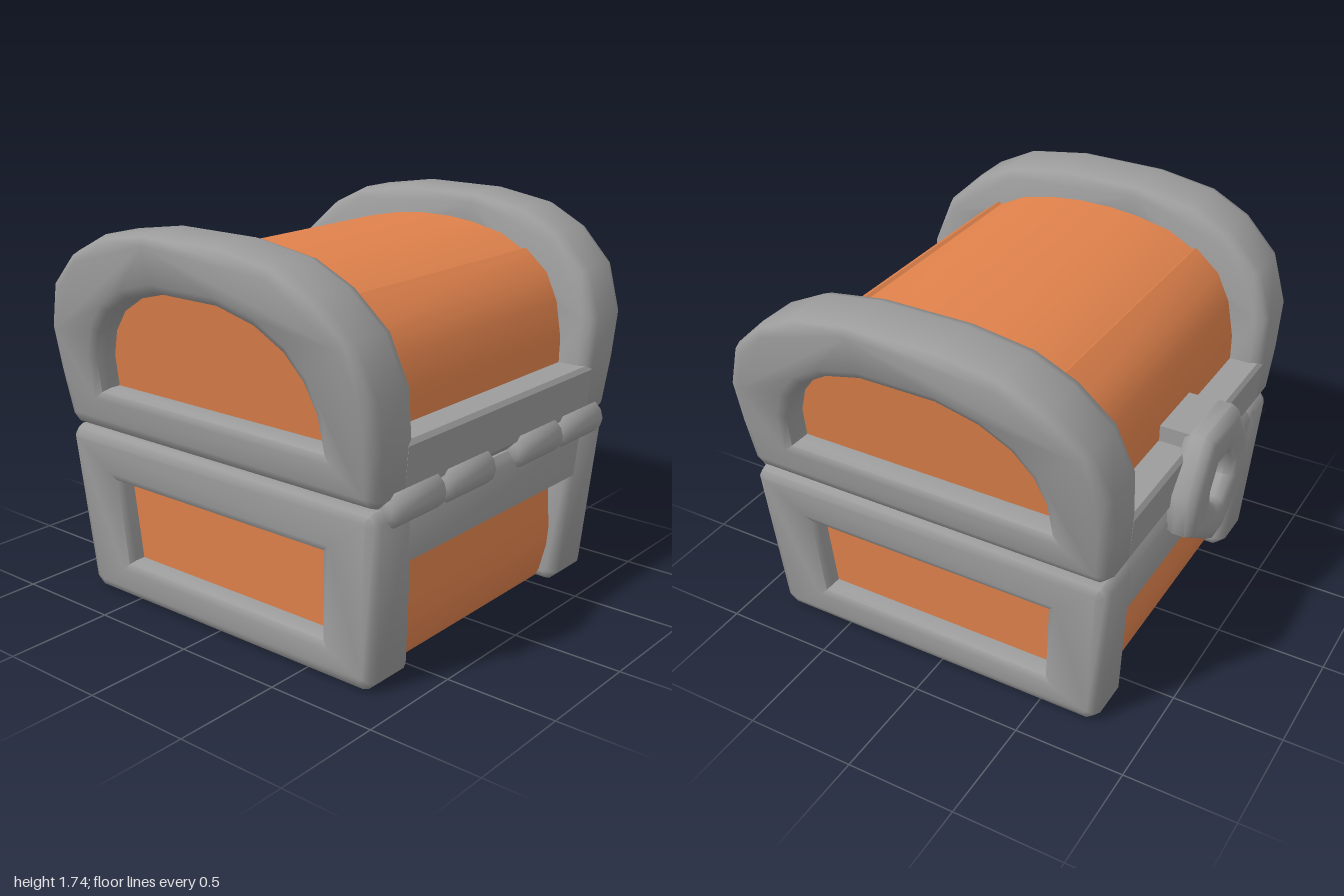
import * as THREE from 'three';
import { toCreasedNormals } from 'three/addons/utils/BufferGeometryUtils.js';

const CENTRE_Z = 0.035; // the chest body sits slightly forward of the lock

// Full contour from its +z half, listed bottom to top as [z, y]
const mirrored = (half) => [...half, ...half.map(([z, y]) => [-z, y]).reverse()];
const toPoints = (list) => list.map(([z, y]) => new THREE.Vector2(-z, y));

// Side-on profile swept along x between two planes that may lean with height
function sweep(profile, inner, outer, { hole, bevel = 0, crease = 0.7 } = {}) {
  const shape = new THREE.Shape(toPoints(profile));
  // Holes wind opposite to the outline so their bevels open outward
  if (hole) shape.holes.push(new THREE.Path(toPoints(hole).reverse()));
  const bt = bevel / (outer(0.8) - inner(0.8));
  const g = new THREE.ExtrudeGeometry(shape, {
    depth: 1 - 2 * bt, bevelEnabled: bevel > 0, bevelThickness: bt,
    bevelSize: bevel, bevelOffset: -bevel, bevelSegments: 2,
  });
  g.translate(0, 0, bt).rotateY(Math.PI / 2);
  const p = g.attributes.position;
  for (let i = 0; i < p.count; i++) {
    const y = p.getY(i);
    p.setX(i, THREE.MathUtils.lerp(inner(y), outer(y), p.getX(i)));
  }
  return toCreasedNormals(g, crease);
}

export function createModel() {
  const metal = new THREE.MeshStandardMaterial({ color: 0x9c9c9c });
  metal.name = 'grey metal';
  const wood = new THREE.MeshStandardMaterial({ color: 0xe0824c });
  wood.name = 'orange wood';

  const model = new THREE.Group();
  model.name = 'chest';
  const body = new THREE.Group();
  body.name = 'body';
  body.position.z = CENTRE_Z;
  model.add(body);

  const add = (name, geometry, material, parent = body) => {
    const mesh = new THREE.Mesh(geometry, material);
    mesh.name = name;
    parent.add(mesh);
    return mesh;
  };
  // Profiles are symmetric, so the opposite end is a half turn
  const addPair = (name, geometry, material) => {
    add('left' + name, geometry, material);
    add('right' + name, geometry, material).rotation.y = Math.PI;
  };

  // Base end frames: legs, bottom rail and top rail around an opening
  addPair('BaseFrame', sweep(
    mirrored([[0.77, 0], [0.815, 0.04], [0.866, 0.74], [0.835, 0.785]]),
    (y) => 0.55 + 0.06 * y, (y) => 0.81 + 0.066 * y,
    { hole: mirrored([[0.56, 0.18], [0.585, 0.56]]), bevel: 0.045, crease: 1 }), metal);

  // Base rim along the front and back
  add('baseRim', sweep(
    mirrored([[0.85, 0.525], [0.866, 0.74], [0.835, 0.785]]),
    () => -0.7, () => 0.7), metal);

  // Base planks, bulging a little at mid height
  add('baseWood', sweep(
    mirrored([[0.71, 0.01], [0.735, 0.05], [0.765, 0.18], [0.77, 0.27], [0.755, 0.4], [0.745, 0.56]]),
    (y) => -0.72 - 0.06 * y, (y) => 0.72 + 0.06 * y), wood);

  // Arched lid end frames, leaning outward
  addPair('LidArch', sweep(
    mirrored([[0.83, 0.79], [0.87, 0.83], [0.885, 1.04], [0.888, 1.25], [0.81, 1.46],
      [0.65, 1.61], [0.47, 1.7], [0.2, 1.742]]),
    (y) => 0.605 + 0.105 * (y - 0.8),
    (y) => Math.min(1, 0.85 + 0.18 * (y - 0.8)),
    { hole: mirrored([[0.615, 0.995], [0.605, 1.14], [0.56, 1.26], [0.48, 1.36],
      [0.35, 1.44], [0.17, 1.488]]), bevel: 0.05, crease: 1 }), metal);

  // Lid rim along the front and back
  add('lidRim', sweep(
    mirrored([[0.83, 0.79], [0.87, 0.83], [0.885, 1.02], [0.87, 1.04]]),
    () => -0.68, () => 0.68), metal);

  // Curved lid planks with a small step where planks overlap
  add('lidWood', sweep(
    mirrored([[0.745, 0.98], [0.738, 1.15], [0.7, 1.31], [0.635, 1.43], [0.515, 1.525],
      [0.502, 1.514], [0.38, 1.575], [0.22, 1.608], [0.08, 1.622]]),
    (y) => -0.78 - 0.18 * (y - 1), (y) => 0.78 + 0.18 * (y - 1)), wood);

  // Hinge barrels across the front seam
  const barrel = toCreasedNormals(new THREE.LatheGeometry([
    [0, -0.172], [0.05, -0.172], [0.08, -0.14], [0.08, 0.14], [0.05, 0.172], [0, 0.172],
  ].map(([r, y]) => new THREE.Vector2(r, y)), 12).rotateZ(Math.PI / 2), 0.9);
  const hinges = new THREE.Group();
  hinges.name = 'hinges';
  model.add(hinges);
  for (const x of [-0.61, -0.262, 0.262, 0.61]) {
    add('hingeBarrel', barrel, metal, hinges).position.set(x, 0.78, 0.87);
  }

  // Shield-shaped lock ring on the back, flat on top and narrow below
  const shield = (s) => [[0.05, -0.295], [0.297, -0.12], [0.297, 0.07], [0.15, 0.295],
    [-0.15, 0.295], [-0.297, 0.07], [-0.297, -0.12], [-0.05, -0.295]]
    .map(([x, y]) => new THREE.Vector2(x * s, y * s));
  const ring = new THREE.Shape(shield(1));
  ring.holes.push(new THREE.Path(shield(0.36)));
  const lockGeometry = new THREE.ExtrudeGeometry(ring, {
    depth: 0.055, bevelThickness: 0.045, bevelSize: 0.045, bevelOffset: -0.045, bevelSegments: 2,
  });
  const lock = new THREE.Group();
  lock.name = 'lock';
  lock.position.set(0, 0.825, -0.855);
  lock.rotation.y = Math.PI;
  model.add(lock);
  add('lockRing', toCreasedNormals(lockGeometry, 1), metal, lock);

  // Block carrying the lock across the rim, also closing the ring's centre
  add('lockStem', new THREE.BoxGeometry(0.3, 0.44, 0.15), metal, lock).position.set(0, 0.07, -0.07);

  return model;
}
